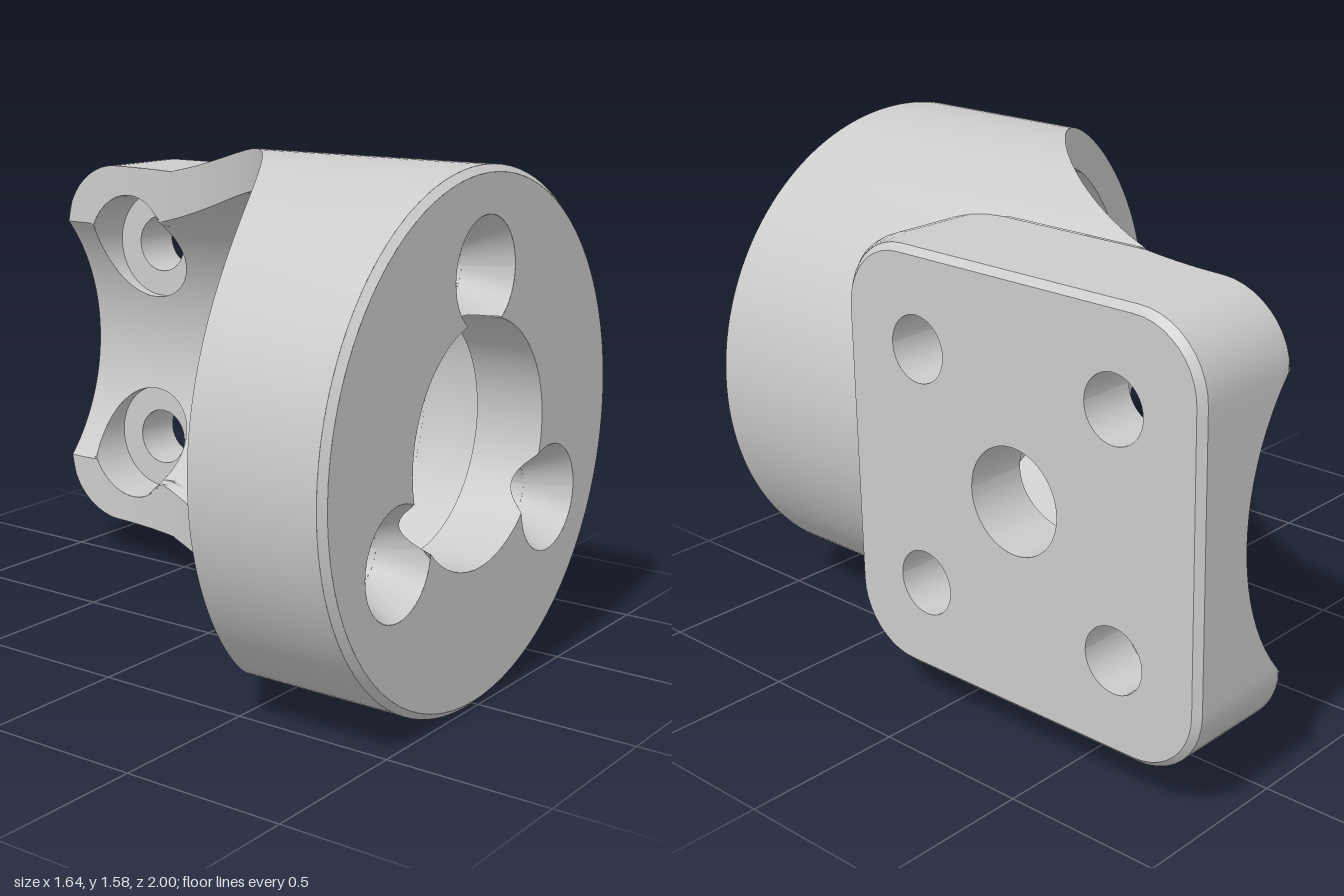
import * as THREE from 'three';

const X0 = -0.035, Y0 = 0.79;            // axis of the round body (runs along z)
const RO = 0.79, RI = 0.66, RC = 0.365;  // outer wall, bore, centre hole
const FLOOR = 0.78;                      // inner side of the front wall
const SX = -0.98, SZ = -0.87, SR = 1.445; // scooped cut, an arc seen from above
const PX = 0.82, SEAT = 0.64;            // outer face of the plate, bolt seat depth
const ZB = -1, ZF = 0.3, HALF = 0.65, CORNER = 0.22; // side plate outline
const SINK = 0.165, PIN = 0.088, DIST = 0.49, SLOPE = 1.69; // front screw holes
const root = v => Math.sqrt(Math.max(0, v));
const clamp01 = v => Math.min(1, Math.max(0, v));

// Position of the scooped cut, and x of the plate's inner side at (y, z)
const cutZ = x => SZ + root(SR * SR - (x - SX) ** 2);
function innerX(y, z) {
  const d = RI * RI - (y - Y0) ** 2;
  const bore = d > 0 ? X0 + Math.sqrt(d) : -9;
  const cut = Math.abs(z - SZ) < SR ? SX + root(SR * SR - (z - SZ) ** 2) : -9;
  return Math.max(bore, cut);
}

// Openings through the side plate: [y, z, radius on the inside, radius on the outside]
const openings = [[Y0, -0.35, 0.16, 0.16]];
for (const y of [Y0 - 0.36, Y0 + 0.36]) for (const z of [0.01, -0.71]) openings.push([y, z, 0.19, 0.1]);

export function createModel() {
  const group = new THREE.Group();
  const material = new THREE.MeshStandardMaterial({ color: 0xcccccc, side: THREE.DoubleSide });

  function add(name, geometry) {
    const mesh = new THREE.Mesh(geometry, material);
    mesh.name = name;
    group.add(mesh);
    return mesh;
  }

  // Grid surface from a rule; punch cuts the plate openings out of it
  function surface(name, rule, nu, nv, punch = false) {
    const pos = [], inside = [], index = [];
    for (let i = 0; i <= nu; i++) for (let j = 0; j <= nv; j++) {
      let [x, y, z] = rule(i / nu, j / nv), hit = 0;
      if (punch && x > 0.1) openings.forEach(([cy, cz, r], k) => {
        const d = Math.hypot(y - cy, z - cz);
        if (d < r) {
          hit = k + 1;
          const s = r / Math.max(d, 1e-4);
          y = cy + (y - cy) * s;
          z = cz + (z - cz) * s;
          x = innerX(y, z);
        }
      });
      pos.push(x, y, z);
      inside.push(hit);
    }
    const tri = (a, b, c) => {
      if (!(inside[a] && inside[a] === inside[b] && inside[a] === inside[c])) index.push(a, b, c);
    };
    for (let i = 0; i < nu; i++) for (let j = 0; j < nv; j++) {
      const a = i * (nv + 1) + j, b = a + nv + 1;
      tri(a, b, b + 1);
      tri(a, b + 1, a + 1);
    }
    const g = new THREE.BufferGeometry();
    g.setAttribute('position', new THREE.Float32BufferAttribute(pos, 3));
    g.setIndex(index);
    g.computeVertexNormals();
    return add(name, g);
  }

  const onAxis = (r, t, z) => [X0 + r * Math.cos(t), Y0 + r * Math.sin(t), z];
  const turn = u => u * Math.PI * 2;

  // Outer round wall: the free part ends at the cut, the rest runs into the plate
  const tOut = Math.acos((0.41 - X0) / RO);
  const sweep = (t0, u) => t0 + u * (2 * Math.PI - 2 * t0);
  surface('outerWall', (u, v) => {
    const p = onAxis(RO, sweep(tOut, u), 0);
    p[2] = 0.98 + v * (cutZ(p[0]) - 0.98);
    return p;
  }, 96, 6);
  surface('outerWallBesidePlate', (u, v) => {
    const p = onAxis(RO, (u * 2 - 1) * tOut, 0);
    const over = Math.max(0, Math.abs(p[1] - Y0) - (HALF - CORNER));
    const end = ZF - CORNER + root(CORNER ** 2 - over ** 2) - 0.03;
    p[2] = 0.98 + v * (end - 0.98);
    return p;
  }, 40, 6);
  surface('frontChamfer', (u, v) => onAxis(RO - 0.02 * v, turn(u), 0.98 + 0.02 * v), 96, 1);

  // Bore: the part along the plate reaches its back end, the rest stops at the cut
  const tIn = Math.acos((0.459 - X0) / RI);
  surface('boreAlongPlate', (u, v) => onAxis(RI, (u * 2 - 1) * tIn, FLOOR + v * (ZB - FLOOR)), 48, 90, true);
  surface('bore', (u, v) => {
    const p = onAxis(RI, sweep(tIn, u), 0);
    p[2] = FLOOR + v * (cutZ(p[0]) - FLOOR);
    return p;
  }, 140, 70, true);

  // Rim left by the scooped cut, mirrored above and below the axis
  const a0 = Math.asin((X0 - RO - SX) / SR), a1 = Math.acos((ZB - SZ) / SR);
  for (const side of [1, -1]) surface(side > 0 ? 'upperRim' : 'lowerRim', (u, v) => {
    const a = a0 + u * (a1 - a0), x = SX + SR * Math.sin(a), z = SZ + SR * Math.cos(a);
    const inner = root(RI * RI - (x - X0) ** 2);
    const over = Math.max(0, ZB + CORNER - z);
    const plateHalf = HALF - CORNER + root(CORNER ** 2 - over ** 2);
    const outer = Math.max(inner, x < 0.41 ? root(RO * RO - (x - X0) ** 2) : plateHalf);
    return [x, Y0 + side * (inner + v * (outer - inner)), z];
  }, 140, 10, true);

  // Front wall: faces with a centre hole and three countersunk screw holes
  const screws = [0, 1, 2].map(k => Math.PI / 2 + k * Math.PI * 2 / 3);
  const circle = (x, y, r) => new THREE.Path().absarc(x, y, r, 0, Math.PI * 2, false);
  const disc = r => new THREE.Shape().absarc(0, 0, r, 0, Math.PI * 2, false);
  const dA = Math.acos((DIST ** 2 + RC ** 2 - SINK ** 2) / (2 * DIST * RC));
  const dB = Math.acos((DIST ** 2 + SINK ** 2 - RC ** 2) / (2 * DIST * SINK));
  const front = disc(RO - 0.02), lobes = new THREE.Path();
  for (const a of screws) {
    const b = a + Math.PI * 2 / 3;
    lobes.absarc(0, 0, RC, a + dA, b - dA, false);
    lobes.absarc(DIST * Math.cos(b), DIST * Math.sin(b), SINK, b + Math.PI + dB, b + 3 * Math.PI - dB, false);
  }
  front.holes.push(lobes);
  add('frontFace', new THREE.ShapeGeometry(front, 40)).position.set(X0, Y0, 1);

  const back = disc(RI);
  back.holes.push(circle(0, 0, RC));
  for (const a of screws) back.holes.push(circle(DIST * Math.cos(a), DIST * Math.sin(a), PIN));
  add('boreFloor', new THREE.ShapeGeometry(back, 40)).position.set(X0, Y0, FLOOR);

  surface('centreHole', (u, v) => {
    const t = turn(u);
    const near = Math.min(...screws.map(a =>
      Math.hypot(RC * Math.cos(t) - DIST * Math.cos(a), RC * Math.sin(t) - DIST * Math.sin(a))));
    const top = 1 - Math.max(0, SINK - near) * SLOPE;
    return onAxis(RC, t, FLOOR + v * (top - FLOOR));
  }, 120, 1);

  const coneEnd = 1 - (SINK - PIN) * SLOPE;
  for (const a of screws) {
    const at = (r, t, z) => [X0 + DIST * Math.cos(a) + r * Math.cos(t), Y0 + DIST * Math.sin(a) + r * Math.sin(t), z];
    surface('screwCountersink', (u, v) => {
      const t = turn(u), c = -Math.cos(t - a), d = RC ** 2 - DIST ** 2 * (1 - c * c);
      const rim = c > 0 && d > 0 ? Math.min(SINK, DIST * c - Math.sqrt(d)) : SINK;
      const r = rim + v * (PIN - rim);
      return at(r, t, 1 - (SINK - r) * SLOPE);
    }, 40, 2);
    surface('screwHole', (u, v) => at(PIN, turn(u), coneEnd + v * (FLOOR - coneEnd)), 24, 1);
  }

  // Side plate: rounded outline whose front end flares into the round wall
  const outline = [], STEP = 20;
  const corner = k => [[ZF - CORNER, 1], [ZB + CORNER, 1], [ZB + CORNER, -1], [ZF - CORNER, -1]][k % 4];
  for (let k = 0; k < 4; k++) {
    const [cz, sy] = corner(k), [nz, ny] = corner(k + 1);
    const point = (z, s, a) => ({ z: z + CORNER * Math.cos(a), y: Y0 + s * (HALF - CORNER) + CORNER * Math.sin(a), nz: Math.cos(a), ny: Math.sin(a) });
    for (let i = 0; i <= 10; i++) outline.push(point(cz, sy, (k + i / 10) * Math.PI / 2));
    for (let i = 1; i < STEP; i++) {
      const f = i / STEP;
      outline.push(point(cz + (nz - cz) * f, sy + (ny - sy) * f, (k + 1) * Math.PI / 2));
    }
  }
  const n = outline.length, edge = u => outline[Math.round(u * n) % n];
  surface('plateEdge', (u, v) => {
    const p = edge(u), start = Math.max(0.41, innerX(p.y, p.z));
    const x = start + v * (PX - 0.02 - start);
    return [x, p.y, p.z + 0.12 * Math.max(0, p.nz) * clamp01((PX - 0.02 - x) / 0.12)];
  }, n, 12);
  surface('plateChamfer', (u, v) => {
    const p = edge(u);
    return [PX - 0.02 + 0.02 * v, p.y - 0.02 * v * p.ny, p.z - 0.02 * v * p.nz];
  }, n, 1);
  const face = new THREE.Shape(outline.map(p => new THREE.Vector2(-(p.z - 0.02 * p.nz), p.y - 0.02 * p.ny)));
  for (const [y, z, , r] of openings) face.holes.push(circle(-z, y, r));
  add('plateFace', new THREE.ShapeGeometry(face, 20).rotateY(Math.PI / 2)).position.x = PX;

  // Plate openings: a plain centre hole and four bolt holes with deep seats
  for (const [cy, cz, rIn, rOut] of openings) {
    const bolt = rIn > rOut, end = bolt ? SEAT : PX;
    surface(bolt ? 'boltSeatWall' : 'plateCentreHole', (u, v) => {
      const y = cy + rIn * Math.sin(turn(u)), z = cz + rIn * Math.cos(turn(u)), x = innerX(y, z);
      return [x + v * (end - x), y, z];
    }, 48, 2);
    if (!bolt) continue;
    const ring = (r, t, x) => [x, cy + r * Math.sin(t), cz + r * Math.cos(t)];
    surface('boltSeat', (u, v) => ring(rIn + v * (rOut - rIn), turn(u), SEAT), 48, 1);
    surface('boltHole', (u, v) => ring(rOut, turn(u), SEAT + v * (PX - SEAT)), 40, 1);
  }
  return group;
}
